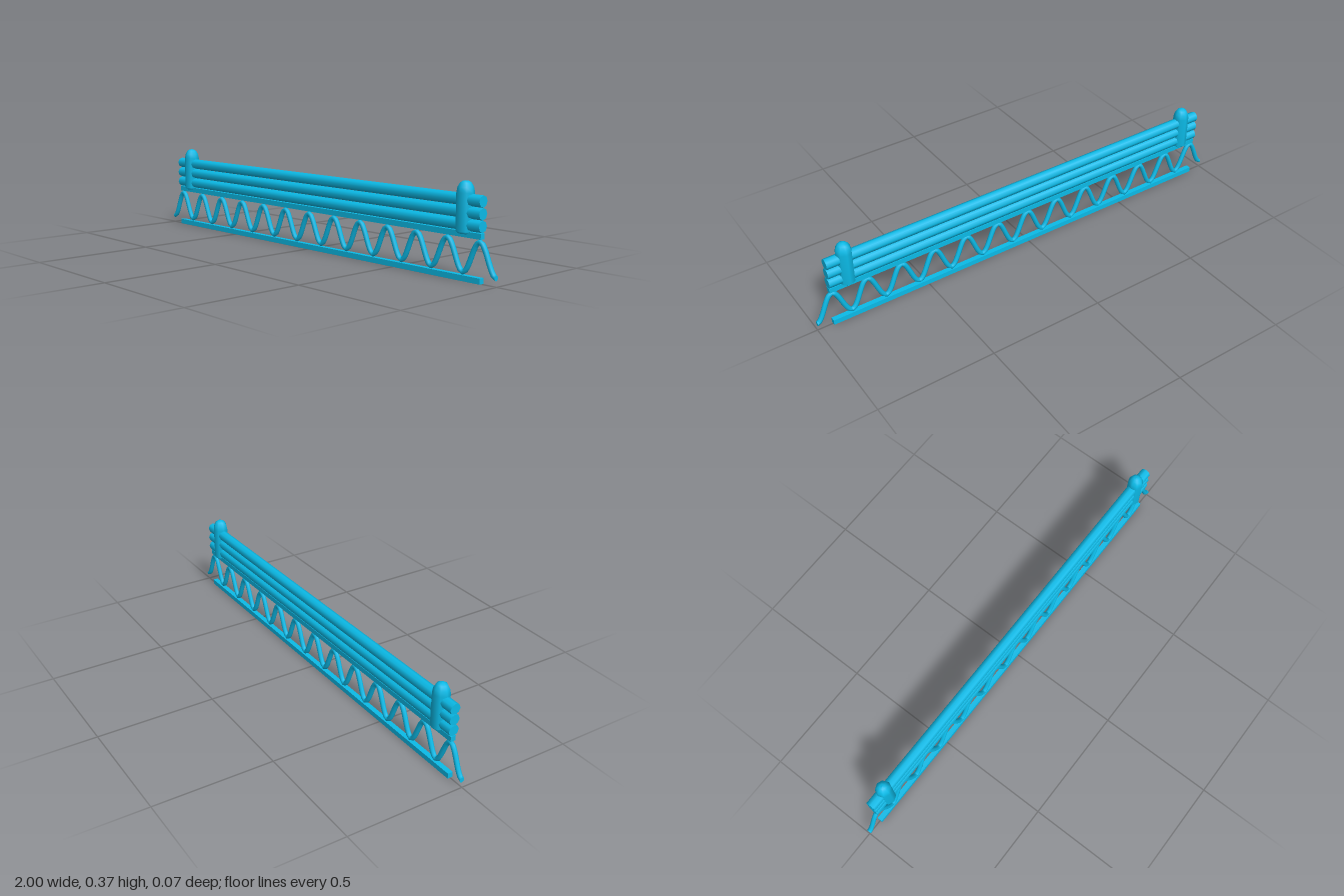
import * as THREE from 'three';

export function createModel() {
  const model = new THREE.Group();
  const material = new THREE.MeshStandardMaterial({ color: 0x0bbbe8 });

  function add(name, geometry, x, y, z = 0) {
    const mesh = new THREE.Mesh(geometry, material);
    mesh.name = name;
    mesh.position.set(x, y, z);
    model.add(mesh);
    return mesh;
  }

  // square rails above and below the lattice
  const rail = new THREE.BoxGeometry(1.865, 0.022, 0.022);
  add('bottomRail', rail, 0, 0.013);
  add('topRail', rail, 0, 0.177);

  // bent rod waving between the rails, 13 crests
  class WaveCurve extends THREE.Curve {
    getPoint(t, target = new THREE.Vector3()) {
      const y = 0.095 - 0.061 * Math.cos(t * 13 * Math.PI * 2);
      return target.set((t * 2 - 1) * 0.998, y, 0);
    }
  }
  const wave = new WaveCurve();
  wave.arcLengthDivisions = 1000;
  add('latticeRod', new THREE.TubeGeometry(wave, 260, 0.0105, 8, false), 0, 0);

  // closing discs at the rod ends
  for (const side of [-1, 1]) {
    const cap = add('rodEnd', new THREE.CircleGeometry(0.0105, 8), side * 0.998, 0.034);
    cap.rotation.y = side * Math.PI / 2;
  }

  // three stacked round bars
  const bar = new THREE.CylinderGeometry(0.0228, 0.0228, 1.865, 8).rotateZ(Math.PI / 2);
  for (const y of [0.212, 0.258, 0.304]) add('roundBar', bar, 0, y);

  // domed posts clamping the bars near both ends
  const profile = [
    [0, 0.177], [0.024, 0.179], [0.034, 0.188], [0.034, 0.33],
    [0.03, 0.35], [0.021, 0.366], [0.011, 0.372], [0, 0.3735],
  ].map(([r, y]) => new THREE.Vector2(r, y));
  const post = new THREE.LatheGeometry(profile, 8);
  for (const side of [-1, 1]) add('endPost', post, side * 0.85, 0);

  return model;
}
